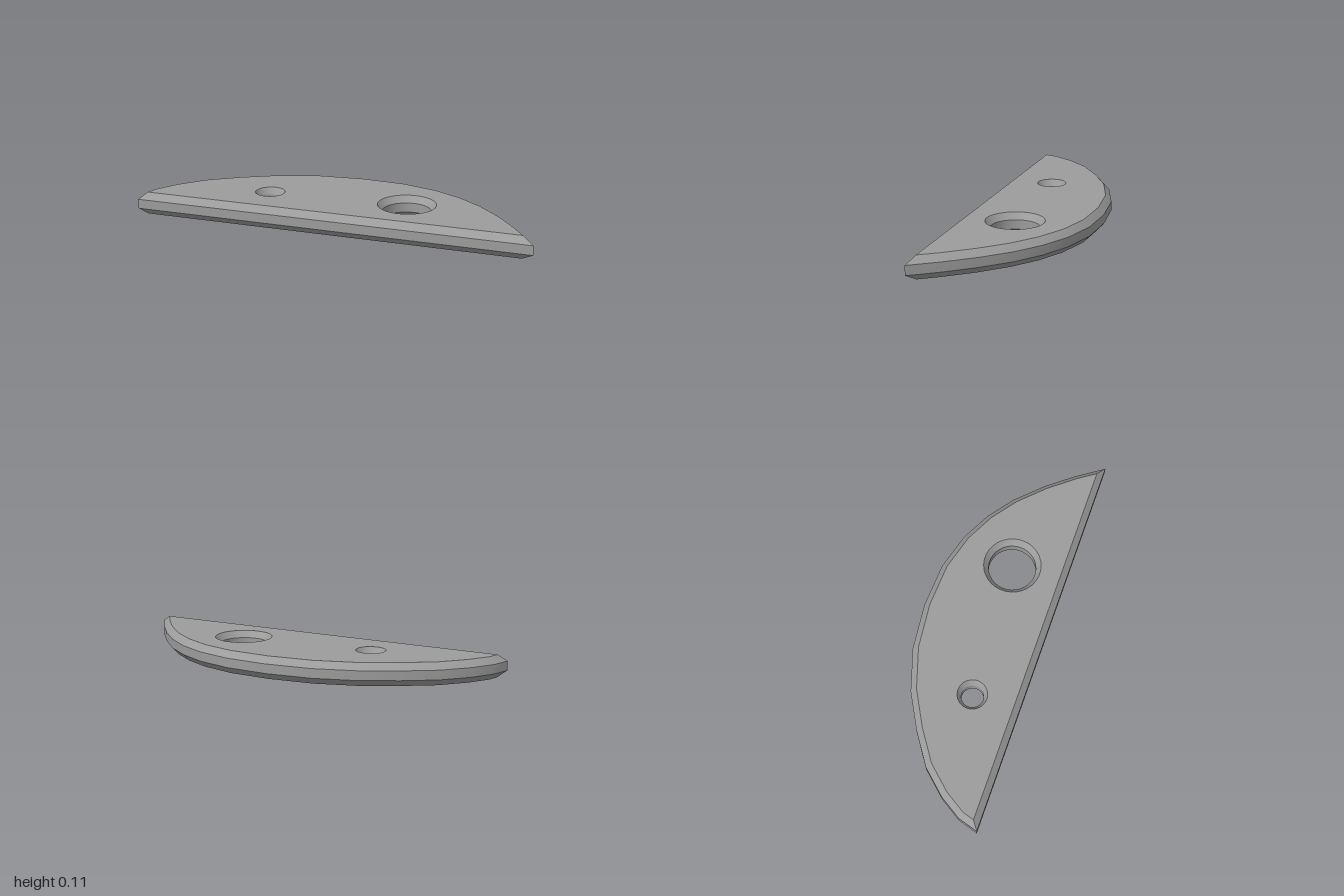
import * as THREE from 'three';
import { toCreasedNormals } from 'three/addons/utils/BufferGeometryUtils.js';

const HEIGHT = 0.113, CHAMFER = 0.033;

// Counter-clockwise plan outline, with plan y = -z: straight front edge, faceted arc behind.
// It starts on the front edge, straight below the apex of the arc.
const OUTLINE = [
  [-0.015, -0.311], [1, -0.311], [0.905, -0.175], [0.8, -0.045], [0.675, 0.08],
  [0.545, 0.175], [0.395, 0.25], [0.21, 0.3], [-0.015, 0.312], [-0.25, 0.287],
  [-0.46, 0.22], [-0.635, 0.125], [-0.79, 0.02], [-0.9, -0.1], [-0.97, -0.21], [-1, -0.311],
].map(([x, y]) => new THREE.Vector2(x, y));
const APEX = 8;

// Clockwise circle for a hole.
function circle(x, y, r, n = 32) {
  return Array.from({ length: n }, (_, i) => {
    const a = -2 * Math.PI * (i + 0.5) / n;
    return new THREE.Vector2(x + r * Math.cos(a), y + r * Math.sin(a));
  });
}

// Mitred offset of a loop towards the material, which lies on its left.
function inset(loop, d) {
  const n = loop.length;
  const normal = (a, b) => new THREE.Vector2(a.y - b.y, b.x - a.x).normalize();
  return loop.map((p, i) => {
    const n1 = normal(loop[(i + n - 1) % n], p);
    const n2 = normal(p, loop[(i + 1) % n]);
    return n1.clone().add(n2).multiplyScalar(d / (1 + n1.dot(n2))).add(p);
  });
}

function chamferedPlate(rings) {
  const pos = [];
  const put = (p, y) => pos.push(p.x, y, -p.y);

  // Lower chamfer, upright wall and upper chamfer around every loop.
  const edges = rings.map(({ loop, d }) => {
    const edge = inset(loop, d);
    const levels = [[edge, 0], [loop, CHAMFER], [loop, HEIGHT - CHAMFER], [edge, HEIGHT]];
    for (let k = 0; k < 3; k++) {
      const [low, y0] = levels[k], [high, y1] = levels[k + 1];
      low.forEach((p, i) => {
        const j = (i + 1) % low.length;
        put(p, y0); put(low[j], y0); put(high[j], y1);
        put(p, y0); put(high[j], y1); put(high[i], y1);
      });
    }
    return edge;
  });

  // Flat top and underside, as two halves with one hole each.
  const [outer, smallHole, largeHole] = edges;
  const halves = [
    [outer.slice(0, APEX + 1), largeHole],
    [[...outer.slice(APEX), outer[0]], smallHole],
  ];
  for (const [half, hole] of halves) {
    const points = [...half, ...hole];
    for (const [a, b, c] of THREE.ShapeUtils.triangulateShape(half, [hole])) {
      for (const i of [a, b, c]) put(points[i], HEIGHT);
      for (const i of [c, b, a]) put(points[i], 0);
    }
  }

  const geometry = new THREE.BufferGeometry();
  geometry.setAttribute('position', new THREE.Float32BufferAttribute(pos, 3));
  return toCreasedNormals(geometry, 0.5);
}

export function createModel() {
  const group = new THREE.Group();
  group.name = 'segmentPlate';
  const plate = new THREE.Mesh(
    chamferedPlate([
      { loop: OUTLINE, d: 0.03 },
      { loop: circle(-0.385, -0.072, 0.055), d: 0.019 }, // small hole
      { loop: circle(0.317, -0.036, 0.119), d: 0.025 }, // large hole
    ]),
    new THREE.MeshStandardMaterial({ color: 0x9c9c9c }),
  );
  plate.name = 'plate';
  group.add(plate);
  return group;
}
